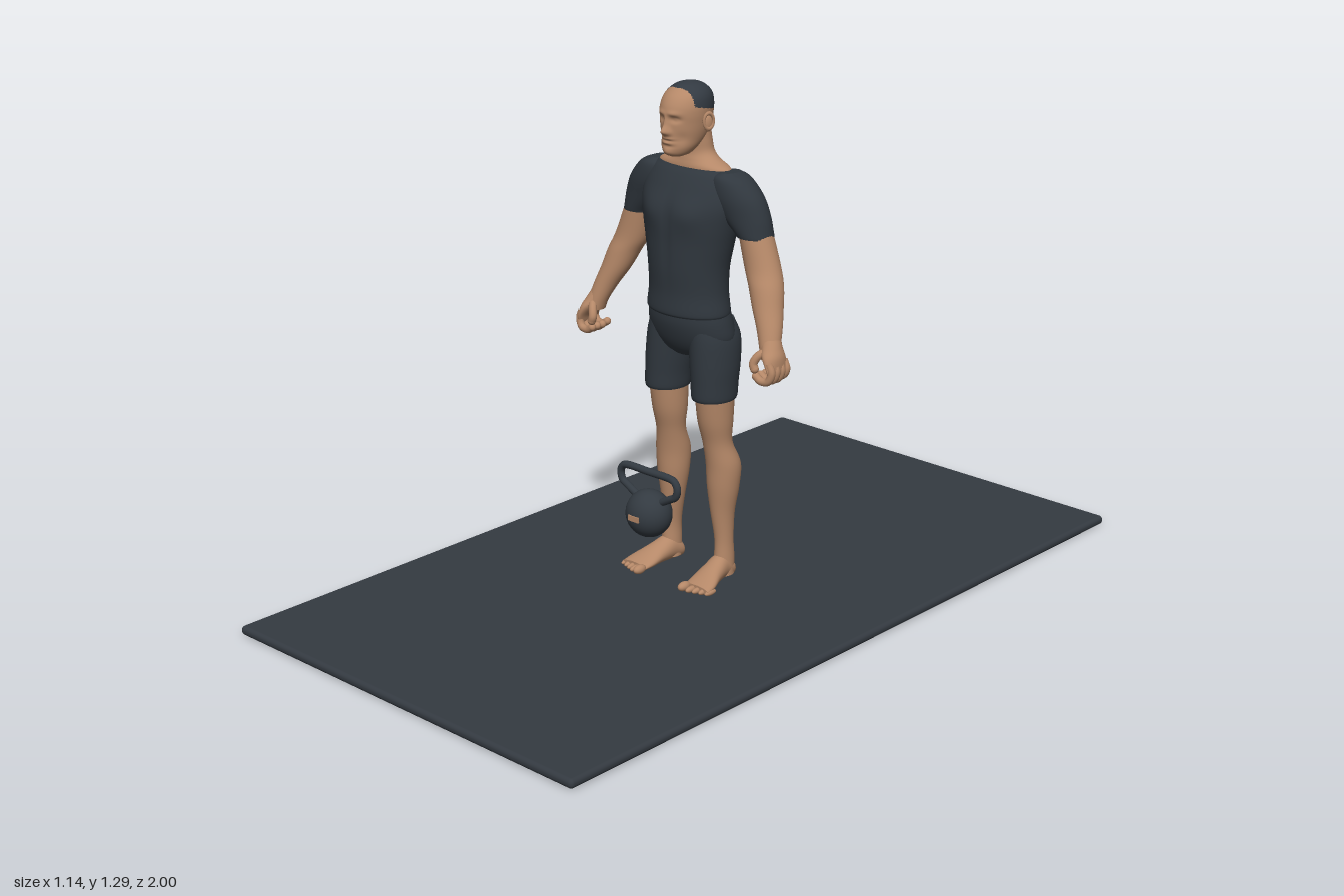
import * as THREE from 'three';
import { RoundedBoxGeometry } from 'three/addons/geometries/RoundedBoxGeometry.js';

const material = (name, color) => {
  const m = new THREE.MeshStandardMaterial({ color });
  m.name = name;
  return m;
};

// Closed skin through horizontal rings [x, y, z, rx, rz], listed from bottom to top
function loft(rows, { seg = 32, steps = 6, shape = null } = {}) {
  const centres = new THREE.CatmullRomCurve3(rows.map(r => new THREE.Vector3(r[0], r[1], r[2])), false, 'catmullrom');
  const radii = new THREE.CatmullRomCurve3(rows.map(r => new THREE.Vector3(r[3], r[4], 0)), false, 'catmullrom');
  const n = (rows.length - 1) * steps;
  const pos = [], idx = [];
  for (let i = 0; i <= n; i++) {
    const c = centres.getPoint(i / n), r = radii.getPoint(i / n);
    for (let j = 0; j < seg; j++) {
      const a = j / seg * Math.PI * 2;
      const v = new THREE.Vector3(c.x + r.x * Math.sin(a), c.y, c.z + r.y * Math.cos(a));
      if (shape) shape(v, Math.cos(a));
      pos.push(v.x, v.y, v.z);
    }
  }
  for (let i = 0; i < n; i++) for (let j = 0; j < seg; j++) {
    const k = (j + 1) % seg, a = i * seg + j, b = i * seg + k;
    idx.push(a, b, a + seg, b, b + seg, a + seg);
  }
  // End caps with their own vertices so the rims stay crisp
  for (const end of [0, n]) {
    const base = pos.length / 3;
    for (let j = 0; j < seg; j++) pos.push(...pos.slice((end * seg + j) * 3, (end * seg + j) * 3 + 3));
    const c = centres.getPoint(end / n);
    pos.push(c.x, c.y, c.z);
    for (let j = 0; j < seg; j++) {
      const k = (j + 1) % seg;
      if (end) idx.push(base + j, base + k, base + seg);
      else idx.push(base + k, base + j, base + seg);
    }
  }
  const g = new THREE.BufferGeometry();
  g.setAttribute('position', new THREE.Float32BufferAttribute(pos, 3));
  g.setIndex(idx);
  g.computeVertexNormals();
  return g;
}

// Soft bump mirrored over the centre plane
const bump = (v, x, y, sx, sy, h) =>
  h * Math.exp(-(((Math.abs(v.x) - x) / sx) ** 2) - ((v.y - y) / sy) ** 2);

function tube(points, radius, steps = 24) {
  const curve = new THREE.CatmullRomCurve3(points.map(p => new THREE.Vector3(...p)));
  return new THREE.TubeGeometry(curve, steps, radius, 12);
}

export function createModel() {
  const skin = material('skin', 0xb58868);
  const cloth = material('dark cloth', 0x30373e);
  const rubber = material('mat rubber', 0x343a41);
  const iron = material('dark iron', 0x333a41);
  const hair = material('hair', 0x333a42);
  const model = new THREE.Group();
  const add = (name, geometry, mat, parent = model) => {
    const m = new THREE.Mesh(geometry, mat);
    m.name = name;
    parent.add(m);
    return m;
  };
  const ball = (name, x, y, z, rx, ry, rz, mat, parent) => {
    const m = add(name, new THREE.SphereGeometry(1, 20, 14), mat, parent);
    m.position.set(x, y, z);
    m.scale.set(rx, ry, rz);
    return m;
  };

  // Exercise mat
  add('mat', new RoundedBoxGeometry(1.14, 0.024, 2, 3, 0.011), rubber).position.y = 0.012;

  // Shirt with chest, shoulder blades and spine groove
  add('shirt', loft([
    [0, .722, .02, .115, .078], [0, .733, .02, .117, .082], [0, .78, .02, .111, .08],
    [0, .84, .02, .113, .083], [0, .90, .016, .124, .087], [0, .95, .012, .135, .09],
    [0, 1.0, .006, .145, .088], [0, 1.04, 0, .142, .077], [0, 1.07, -.002, .128, .062],
    [0, 1.085, 0, .11, .048]
  ], { seg: 64, shape: (v, f) => {
    if (f > 0) v.z += f * (bump(v, .06, .98, .045, .035, .009) - bump(v, 0, .92, .01, .1, .004));
    else v.z -= f * (bump(v, 0, .9, .022, .14, .014) - bump(v, .065, 1.0, .04, .05, .006));
  } }), cloth);

  // Shorts seat
  add('shortsSeat', loft([
    [0, .612, .005, .05, .045], [0, .63, .004, .1, .062], [0, .66, .005, .123, .076],
    [0, .70, .012, .121, .08], [0, .738, .017, .112, .076]
  ], { seg: 48, shape: (v, f) => {
    if (f < 0) v.z -= f * (bump(v, 0, .65, .015, .06, .016) - bump(v, .05, .66, .03, .03, .004));
  } }), cloth);

  // Neck and shoulder slope
  add('neck', loft([
    [0, 1.07, -.004, .115, .046], [0, 1.088, -.003, .107, .045], [0, 1.104, -.003, .072, .042],
    [0, 1.122, -.003, .053, .039], [0, 1.15, 0, .048, .038], [0, 1.19, .005, .045, .038]
  ], { seg: 40 }), skin);

  // Head: skull profile [y, half width, front z, back z], face pushed out by bumps
  const skull = [
    [1.117, .016, .08, .045], [1.124, .03, .093, .022], [1.14, .041, .098, 0], [1.16, .048, .098, -.025],
    [1.18, .053, .098, -.037], [1.2, .056, .098, -.042], [1.22, .058, .099, -.045], [1.24, .058, .096, -.046],
    [1.26, .054, .085, -.042], [1.275, .044, .069, -.031], [1.287, .026, .05, -.012], [1.292, .002, .02, .016]
  ];
  const face = (v, f) => {
    if (f <= 0) return;
    v.z += f * (
      bump(v, 0, 1.182, .009, .011, .016) + bump(v, 0, 1.2, .006, .018, .007) +
      bump(v, .009, 1.179, .006, .006, .004) - bump(v, .022, 1.211, .012, .007, .009) +
      bump(v, .022, 1.211, .006, .004, .004) + bump(v, .019, 1.225, .016, .006, .004) +
      bump(v, 0, 1.1635, .016, .003, .004) + bump(v, 0, 1.153, .014, .003, .004) -
      bump(v, 0, 1.159, .019, .0018, .005) - bump(v, 0, 1.145, .02, .004, .003) +
      bump(v, 0, 1.13, .016, .008, .004) - bump(v, .036, 1.165, .012, .014, .005));
  };
  const headGeo = loft(skull.map(([y, w, f, b]) => [0, y, (f + b) / 2, w, (f - b) / 2]),
    { seg: 88, steps: 7, shape: face });
  // Sort the faces into skin and cropped hair
  const p = headGeo.attributes.position, tri = headGeo.index.array, sorted = [[], []];
  for (let i = 0; i < tri.length; i += 3) {
    const t = [tri[i], tri[i + 1], tri[i + 2]];
    const mid = get => t.reduce((s, k) => s + get(k), 0) / 3;
    const x = Math.abs(mid(k => p.getX(k))), y = mid(k => p.getY(k)), z = mid(k => p.getZ(k));
    const isHair = y > 1.22 + .2 * (z + .045) && z < .055 + .25 * Math.max(0, .03 - x);
    sorted[isHair ? 1 : 0].push(...t);
  }
  headGeo.setIndex(sorted.flat());
  headGeo.addGroup(0, sorted[0].length, 0);
  headGeo.addGroup(sorted[0].length, sorted[1].length, 1);
  add('head', headGeo, [skin, hair]);

  for (const s of [1, -1]) {
    const side = s > 0 ? 'left' : 'right';
    const limb = (name, rows, mat, options) =>
      add(side + name, loft(rows.map(([x, ...rest]) => [x * s, ...rest]), options), mat);
    const flip = pts => pts.map(([x, y, z]) => [x * s, y, z]);

    // Ear
    const ear = new THREE.Group();
    ear.name = side + 'Ear';
    model.add(ear);
    ear.position.set(.061 * s, 1.2, .018);
    ear.rotation.y = -.35 * s;
    ball('earLobe', 0, -.004, 0, .006, .02, .012, skin, ear);
    const rim = add('earRim', new THREE.TorusGeometry(.013, .0035, 8, 24), skin, ear);
    rim.rotation.y = Math.PI / 2;
    rim.position.set(.004 * s, .003, 0);
    rim.scale.y = 1.45;

    // Sleeve and arm
    limb('Sleeve', [
      [.187, .936, -.012, .047, .044], [.182, .946, -.012, .05, .046], [.155, .985, -.011, .069, .051],
      [.13, 1.03, -.008, .075, .054], [.118, 1.07, -.004, .05, .046], [.116, 1.085, -.002, .02, .028]
    ], cloth);
    limb('Arm', [
      [.292, .668, .05, .022, .026], [.286, .695, .045, .026, .026], [.272, .735, .031, .032, .031],
      [.252, .78, .015, .039, .037], [.235, .825, .002, .044, .041], [.214, .87, -.008, .047, .041],
      [.187, .95, -.012, .043, .04]
    ], skin);

    // Half closed hand
    limb('Palm', [
      [.319, .632, .053, .008, .033], [.315, .65, .053, .012, .037], [.304, .675, .052, .021, .035],
      [.294, .695, .047, .023, .028], [.286, .715, .04, .022, .024]
    ], skin);
    for (let i = 0; i < 4; i++) {
      const z = .025 + i * .018, d = i === 0 ? .004 : 0;
      add(side + 'Finger', tube(flip([
        [.312, .665, z], [.321, .642, z], [.312, .621 + d, z + .002], [.29, .618 + d, z + .003], [.275, .627 + d, z + .003]
      ]), .0098), skin);
      ball(side + 'FingerTip', .275 * s, .627 + d, z + .003, .0098, .0098, .0098, skin);
    }
    add(side + 'Thumb', tube(flip([[.293, .69, .06], [.276, .675, .078], [.269, .657, .085], [.273, .645, .085]]), .0105), skin);
    ball(side + 'ThumbTip', .273 * s, .645, .085, .0105, .0105, .0105, skin);

    // Shorts leg and bare leg
    limb('ShortsLeg', [
      [.078, .508, .012, .051, .06], [.078, .518, .012, .053, .063], [.077, .55, .01, .054, .065],
      [.074, .6, .005, .057, .07], [.069, .66, .001, .056, .073], [.062, .705, .006, .045, .066]
    ], cloth);
    limb('Leg', [
      [.09, .035, -.01, .026, .029], [.09, .08, -.013, .024, .028], [.089, .13, -.013, .023, .026],
      [.085, .2, -.012, .03, .032], [.085, .27, -.014, .041, .041], [.085, .33, -.014, .044, .044],
      [.079, .39, .001, .038, .037], [.077, .45, .007, .044, .046], [.078, .53, .01, .047, .054]
    ], skin);
    ball(side + 'Kneecap', .078 * s, .395, .022, .022, .028, .016, skin);

    // Foot, built along its length and laid flat
    const foot = loft([
      [.087, -.043, -.042, .01, .011], [.088, -.032, -.047, .024, .023], [.09, 0, -.057, .027, .033],
      [.096, .04, -.05, .032, .026], [.104, .08, -.04, .04, .017], [.108, .11, -.034, .04, .01]
    ].map(([x, ...rest]) => [x * s, ...rest]));
    foot.rotateX(Math.PI / 2);
    add(side + 'Foot', foot, skin);
    for (let i = 0; i < 5; i++) {
      const r = i ? .0085 - i * .0004 : .012;
      ball(side + 'Toe', (i ? .08 + i * .016 : .077) * s, .024 + r, .121 - i * .006, r, r, .02, skin);
    }
  }

  // Kettlebell with handle and front plate
  const bell = new THREE.Group();
  bell.name = 'kettlebell';
  bell.position.set(0, .225, .165);
  model.add(bell);
  const body = add('bellBody', new THREE.SphereGeometry(.061, 40, 28), iron, bell);
  body.scale.z = .91;
  const half = [[.07, .109, 0], [.086, .105, 0], [.096, .088, 0], [.09, .066, 0], [.07, .054, 0], [.035, .035, 0]];
  add('bellHandle', tube([
    ...half.map(([x, y, z]) => [-x, y, z]).reverse(), [0, .109, 0], ...half
  ], .0095, 90), iron, bell);
  add('bellPlate', new THREE.BoxGeometry(.034, .014, .009), skin, bell).position.z = .053;

  return model;
}
